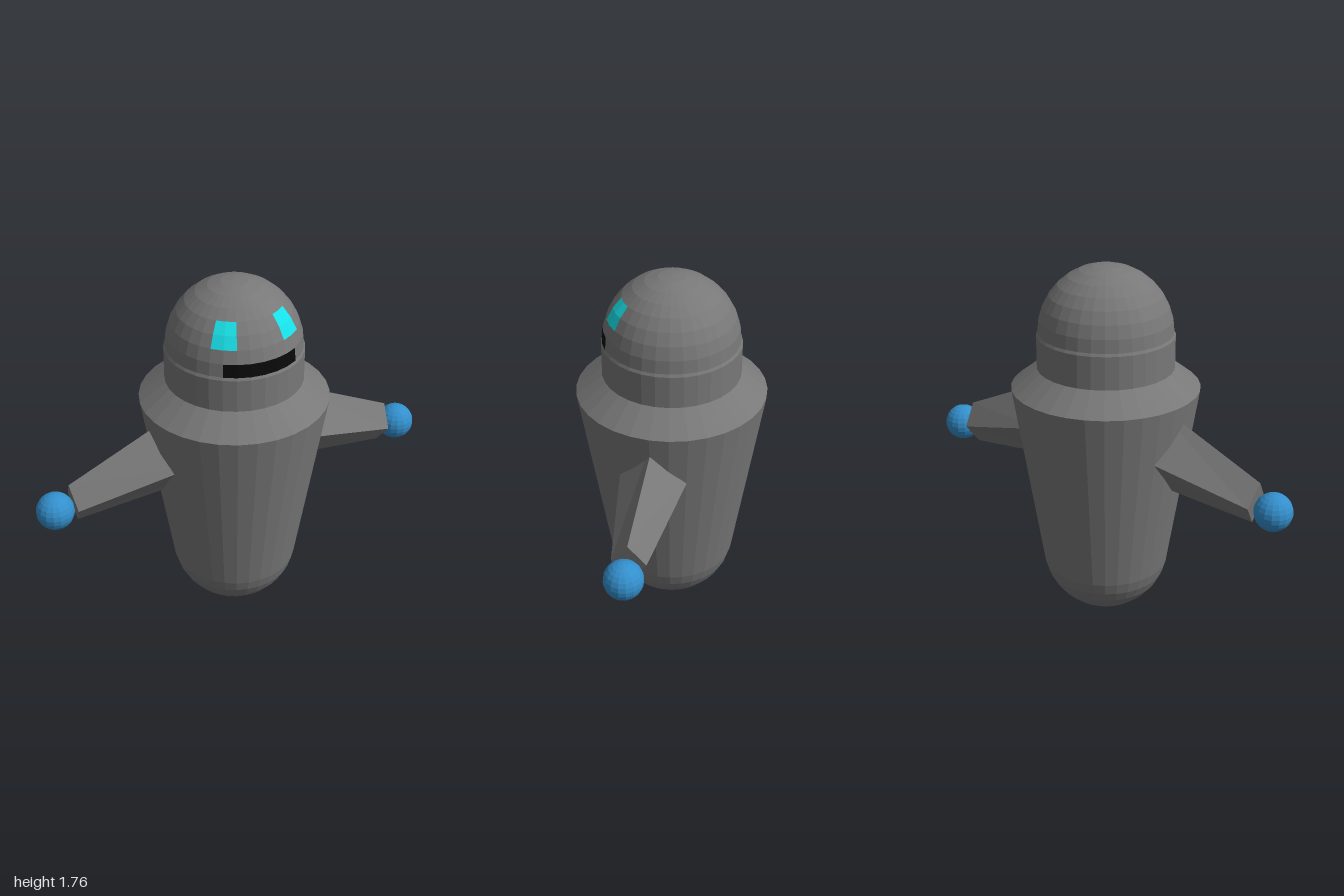
import * as THREE from 'three';

const STEP = Math.PI / 16; // one facet of the 32-sided round parts
const HEAD_Y = 1.438, HEAD_R = 0.318;

const mat = (color) => new THREE.MeshStandardMaterial({ color, flatShading: true });

function mesh(name, geometry, material) {
  const m = new THREE.Mesh(geometry, material);
  m.name = name;
  return m;
}

// Points on a circular arc, from latitude step a to b
function arc(cy, r, a, b) {
  const pts = [];
  for (let i = a; i <= b; i++) {
    pts.push(new THREE.Vector2(Math.max(0, r * Math.cos(i * STEP)), cy + r * Math.sin(i * STEP)));
  }
  return pts;
}

// Patch lying on the head dome, measured in facets (column 0 faces front)
function domePatch(name, lat0, lat1, col0, cols, material) {
  const pts = arc(HEAD_Y, HEAD_R + 0.002, lat0, lat1);
  return mesh(name, new THREE.LatheGeometry(pts, cols, col0 * STEP, cols * STEP), material);
}

// Four-sided tapering arm, running out along +x and sloping down
function armGeometry() {
  const g = new THREE.CylinderGeometry(1, 1, 1, 4, 1);
  const p = g.attributes.position;
  const lerp = THREE.MathUtils.lerp;
  for (let i = 0; i < p.count; i++) {
    const t = p.getY(i) + 0.5, up = -p.getX(i), side = p.getZ(i);
    p.setXYZ(i,
      lerp(0.25, 0.822, t) + 0.015 * t * up,
      lerp(0.942, 0.781, t) + up * lerp(0.214, 0.103, t),
      side * lerp(0.178, 0.08, t));
  }
  g.computeVertexNormals();
  return g;
}

export function createModel() {
  const model = new THREE.Group();
  model.name = 'robot';
  const grey = mat(0x787878), blue = mat(0x338fcc), cyan = mat(0x18e0e8), black = mat(0x0a0a0a);

  // Body: rounded bottom, flaring sides, sloped shoulders
  const v = (x, y) => new THREE.Vector2(x, y);
  const bodyProfile = [...arc(0.31, 0.31, -8, -1), v(0.448, 1.172), v(0.325, 1.268)];
  model.add(mesh('body', new THREE.LatheGeometry(bodyProfile, 32), grey));

  // Neck ring, bevelled into the dome
  const neckProfile = [v(0.325, 1.268), v(0.325, 1.425), v(HEAD_R, HEAD_Y)];
  model.add(mesh('neck', new THREE.LatheGeometry(neckProfile, 32), grey));

  // Head dome and face
  model.add(mesh('head', new THREE.LatheGeometry(arc(HEAD_Y, HEAD_R, 0, 8), 32), grey));
  model.add(domePatch('mouth', 0, 1, -3, 6, black));
  model.add(domePatch('leftEye', 2, 4, 2, 2, cyan));
  model.add(domePatch('rightEye', 2, 4, -4, 2, cyan));

  // Arms with ball hands
  const armGeo = armGeometry();
  const handGeo = new THREE.SphereGeometry(0.09, 16, 12);
  for (const side of ['left', 'right']) {
    const arm = new THREE.Group();
    arm.name = side + 'Arm';
    const hand = mesh(side + 'Hand', handGeo, blue);
    hand.position.set(0.91, 0.761, 0);
    arm.add(mesh(side + 'ArmLimb', armGeo, grey), hand);
    if (side === 'right') arm.rotation.y = Math.PI;
    model.add(arm);
  }
  return model;
}
